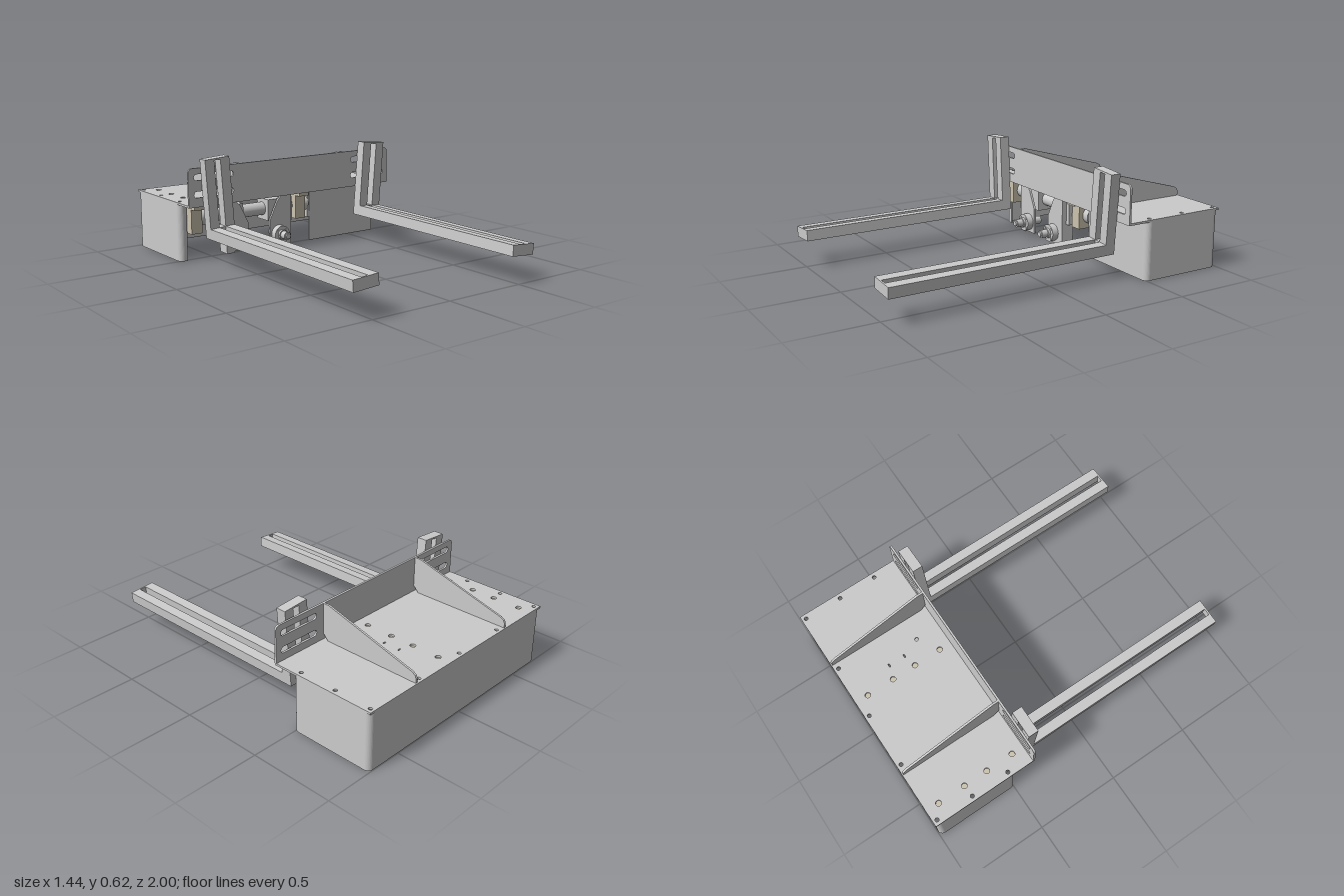
import * as THREE from 'three';

const grey = new THREE.MeshStandardMaterial({ color: 0xcccccc, side: THREE.DoubleSide });
const beige = new THREE.MeshStandardMaterial({ color: 0xccc4b0 });

function add(parent, name, geometry, x = 0, y = 0, z = 0, material = grey) {
  const mesh = new THREE.Mesh(geometry, material);
  mesh.name = name;
  mesh.position.set(x, y, z);
  parent.add(mesh);
  return mesh;
}

// Box given by its limits
function box(parent, name, x0, x1, y0, y1, z0, z1, material = grey) {
  const g = new THREE.BoxGeometry(x1 - x0, y1 - y0, z1 - z0);
  return add(parent, name, g, (x0 + x1) / 2, (y0 + y1) / 2, (z0 + z1) / 2, material);
}

// Cylinder along x or z between two limits
function rod(parent, name, axis, r, from, to, a, b, material = grey) {
  const g = new THREE.CylinderGeometry(r, r, to - from, 32);
  const mid = (from + to) / 2;
  if (axis === 'x') return add(parent, name, g.rotateZ(Math.PI / 2), mid, a, b, material);
  return add(parent, name, g.rotateX(Math.PI / 2), a, b, mid, material);
}

const extrude = (shape, depth) =>
  new THREE.ExtrudeGeometry(shape, { depth, bevelEnabled: false, curveSegments: 10 });
const polygon = (points) => new THREE.Shape(points.map((p) => new THREE.Vector2(...p)));

function hole(shape, x, y, r) {
  shape.holes.push(new THREE.Path().absarc(x, y, r, 0, Math.PI * 2, true));
}

function slot(shape, x0, x1, y, r) {
  const p = new THREE.Path();
  p.absarc(x0 + r, y, r, Math.PI * 1.5, Math.PI / 2, true);
  p.absarc(x1 - r, y, r, Math.PI / 2, -Math.PI / 2, true);
  p.closePath();
  shape.holes.push(p);
}

// Horizontal deck with its bolt holes; shape y is -z
function buildDeck(g) {
  const s = polygon([[-0.718, 0.36], [0.718, 0.36], [0.718, 1], [-0.718, 1]]);
  for (const x of [-0.69, -0.33, 0, 0.33, 0.69]) hole(s, x, 0.975, 0.011);
  for (const x of [-0.69, 0.69]) for (const z of [0.75, 0.52]) hole(s, x, z, 0.011);
  hole(s, 0.23, 0.52, 0.011);
  for (const x of [-0.62, 0.105]) for (const z of [0.92, 0.755, 0.61, 0.445]) hole(s, x, z, 0.016);
  for (const z of [0.73, 0.63]) slot(s, 0.175, 0.195, z, 0.004);
  add(g, 'deck', extrude(s, 0.012).rotateX(-Math.PI / 2), 0, 0.336, 0);
}

// Bent skirt below the deck, open at the bottom and in the middle of the front
function buildSkirt(g) {
  const s = new THREE.Shape();
  const contour = (w, front, back, r, reverse) => {
    const path = new THREE.Path();
    path.moveTo(0.2, front);
    path.lineTo(w - r, front);
    path.absarc(w - r, front + r, r, -Math.PI / 2, 0);
    path.absarc(w - r, back - r, r, 0, Math.PI / 2);
    path.absarc(-w + r, back - r, r, Math.PI / 2, Math.PI);
    path.absarc(-w + r, front + r, r, Math.PI, Math.PI * 1.5);
    path.lineTo(-0.665, front);
    const pts = path.getPoints(8);
    return reverse ? pts.reverse() : pts;
  };
  s.setFromPoints([...contour(0.716, 0.488, 0.997, 0.032), ...contour(0.706, 0.498, 0.987, 0.022, true)]);
  add(g, 'skirt', extrude(s, 0.336).rotateX(-Math.PI / 2));
}

// Upright front plate with mounting slots, braced by two sloping gussets
function buildFrontPlate(g) {
  const s = new THREE.Shape();
  s.moveTo(-0.718, 0.338);
  s.lineTo(0.718, 0.338);
  s.absarc(0.693, 0.535, 0.025, 0, Math.PI / 2);
  s.absarc(-0.693, 0.535, 0.025, Math.PI / 2, Math.PI);
  s.closePath();
  for (const y of [0.507, 0.408]) {
    slot(s, -0.683, -0.425, y, 0.018);
    slot(s, 0.425, 0.683, y, 0.018);
  }
  add(g, 'frontPlate', extrude(s, 0.012), 0, 0, -0.372);
  const side = polygon([[0.37, 0.385], [0.405, 0.348], [0.993, 0.348], [0.993, 0.375],
    [0.985, 0.392], [0.965, 0.404], [0.41, 0.56], [0.37, 0.56]]);
  for (const x of [-0.38, 0.37]) {
    add(g, 'gusset', extrude(side, 0.012).rotateY(Math.PI / 2), x - 0.006, 0, 0);
  }
}

// L-shaped fork of paired rails, tilted about z
function buildFork(g, name, x, y, tilt) {
  const fork = new THREE.Group();
  fork.name = name;
  fork.position.set(x, y, 0);
  fork.rotation.z = tilt;
  for (const side of [-1, 1]) {
    const a = Math.min(side * 0.02, side * 0.078);
    box(fork, 'forkRail', a, a + 0.058, 0, 0.062, -0.295, 0.99);
    box(fork, 'uprightRail', a, a + 0.058, 0, 0.45, -0.355, -0.295);
  }
  box(fork, 'forkTip', -0.078, 0.078, 0, 0.062, 0.99, 1);
  box(fork, 'uprightCap', -0.078, 0.078, 0.45, 0.46, -0.355, -0.295);
  box(fork, 'heel', -0.02, 0.02, 0, 0.062, -0.355, -0.295);
  g.add(fork);
}

// Hanging bracket with a spindle; dir is the side towards which it widens
function buildBracket(g, x, dir) {
  const b = new THREE.Group();
  b.name = 'spindleBracket';
  const s = polygon([[-0.09, 0.325], [-0.02, 0.325], [0.008, 0.295], [0.06, 0.188], [0.06, 0.03],
    [-0.037, 0.03], [-0.037, 0.02], [-0.09, 0.02]].map(([u, v]) => [u * dir, v]));
  add(b, 'bracketFace', extrude(s, 0.014), x, 0, -0.434);
  const outer = x - dir * 0.09;
  const inner = outer + dir * 0.014;
  box(b, 'bracketSide', Math.min(outer, inner), Math.max(outer, inner), 0.02, 0.325, -0.5, -0.434);
  box(b, 'bracketHub', x - 0.05, x + 0.05, 0.17, 0.3, -0.58, -0.46);
  rod(b, 'spindleFlange', 'z', 0.052, -0.42, -0.38, x, 0.095);
  rod(b, 'spindleCollar', 'z', 0.031, -0.38, -0.365, x, 0.095);
  rod(b, 'spindle', 'z', 0.024, -0.5, -0.325, x, 0.095);
  rod(b, 'spindleTip', 'z', 0.016, -0.325, -0.315, x, 0.095);
  for (let i = 0; i < 4; i++) {
    const t = Math.PI / 4 + i * Math.PI / 2;
    rod(b, 'flangeBolt', 'z', 0.007, -0.38, -0.376, x + 0.042 * Math.cos(t), 0.095 + 0.042 * Math.sin(t));
  }
  g.add(b);
}

// Shaft carried by two bearing blocks bolted under the deck
function buildShaft(g, z) {
  const shaft = new THREE.Group();
  shaft.name = 'shaftAssembly';
  for (const x of [-0.62, 0.105]) {
    box(shaft, 'bearingFoot', x - 0.035, x + 0.035, 0.305, 0.336, z - 0.115, z + 0.115, beige);
    box(shaft, 'bearingBlock', x - 0.035, x + 0.035, 0.16, 0.305, z - 0.075, z + 0.075, beige);
  }
  rod(shaft, 'shaft', 'x', 0.04, -0.655, 0.18, 0.238, z);
  rod(shaft, 'shaftCollar', 'x', 0.049, 0.14, 0.185, 0.238, z);
  rod(shaft, 'shaftSleeve', 'x', 0.046, -0.585, -0.46, 0.238, z);
  g.add(shaft);
}

export function createModel() {
  const g = new THREE.Group();
  g.name = 'forkAttachment';
  buildDeck(g);
  buildSkirt(g);
  buildFrontPlate(g);
  buildFork(g, 'rightFork', -0.537, 0.157, 0.068);
  buildFork(g, 'leftFork', 0.523, 0.154, -0.076);
  buildBracket(g, -0.352, 1);
  buildBracket(g, -0.077, -1);
  buildShaft(g, -0.527);
  buildShaft(g, -0.837);
  // Small end plate and side lugs of the drive
  box(g, 'shaftEndPlate', 0.182, 0.2, 0.15, 0.336, -0.6, -0.49);
  box(g, 'bracketLug', 0.013, 0.04, 0.16, 0.305, -0.53, -0.45);
  box(g, 'bracketLug', -0.495, -0.442, 0.145, 0.19, -0.53, -0.45);
  return g;
}
